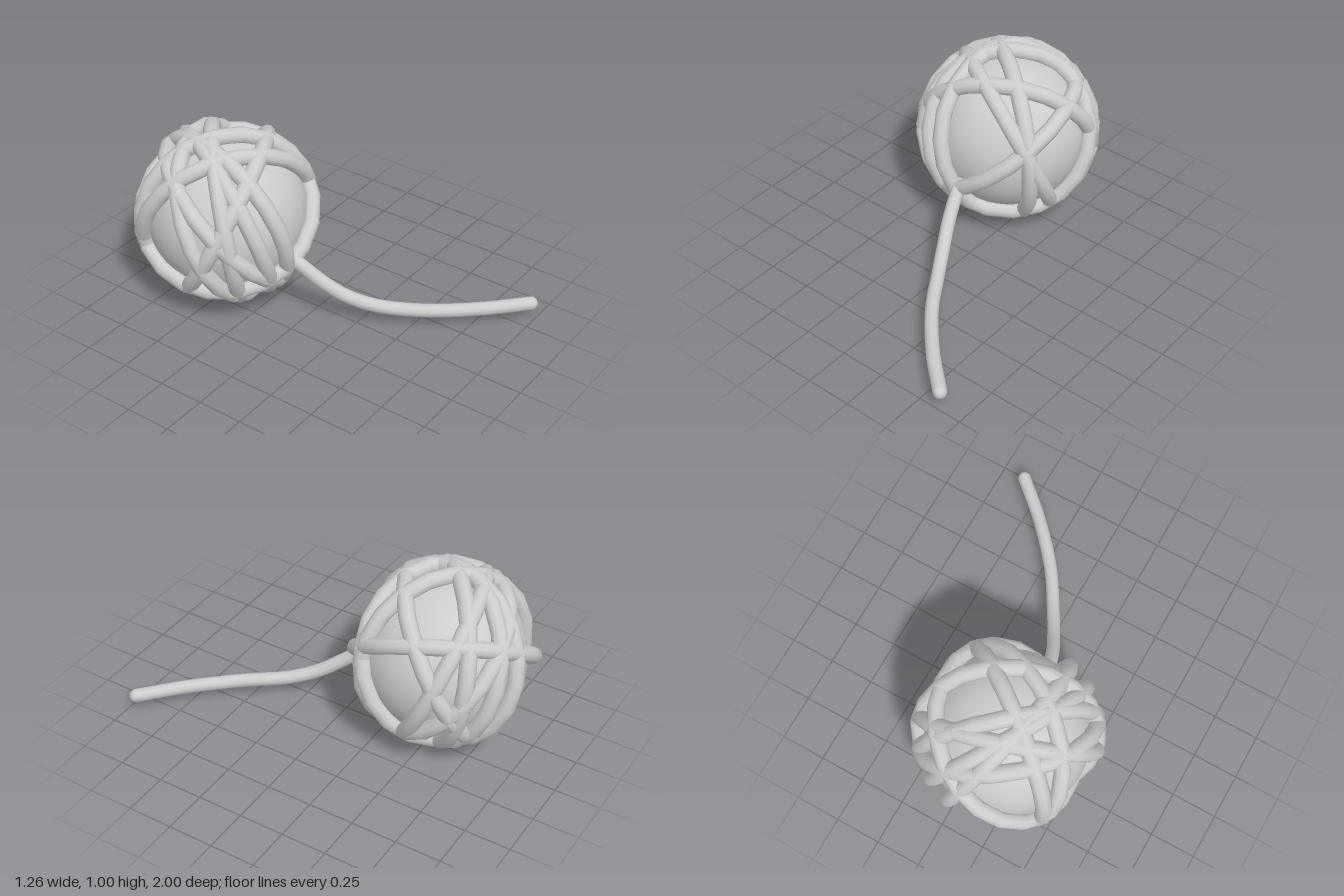
import * as THREE from 'three';

export function createModel() {
  const model = new THREE.Group();
  model.name = 'yarnBall';
  const yarn = new THREE.MeshStandardMaterial({ color: 0xcccccc });
  yarn.name = 'yarn grey';

  const add = (geometry, name, parent = model) => {
    const mesh = new THREE.Mesh(geometry, yarn);
    mesh.name = name;
    parent.add(mesh);
    return mesh;
  };

  // Ball: a smooth core wrapped in strands
  const ball = new THREE.Group();
  ball.name = 'ball';
  ball.position.set(-0.135, 0.508, -0.507);
  model.add(ball);
  add(new THREE.SphereGeometry(0.43, 40, 28), 'core', ball);

  // Each strand is a loop round the core, given by the axis it winds about
  const strandAxes = [
    [0.94, 0.28, 0.19],
    [0.82, 0.31, 0.46],
    [0.49, 0.66, 0.57],
    [0.41, -0.46, 0.79],
    [0.50, 0.41, -0.76],
    [0.61, 0.04, -0.79],
    [0.56, -0.77, -0.29],
    [0.27, 0.40, 0.88],
    [0.64, 0.14, 0.75],
  ];
  const strand = new THREE.TorusGeometry(0.461, 0.044, 10, 20);
  const zAxis = new THREE.Vector3(0, 0, 1);
  strandAxes.forEach((axis, i) => {
    const ring = add(strand, `strand${i + 1}`, ball);
    ring.quaternion.setFromUnitVectors(zAxis, new THREE.Vector3(...axis).normalize());
  });

  // Loose end trailing forward along the ground
  const path = new THREE.CatmullRomCurve3([
    [-0.13, 0.37, -0.09],
    [-0.115, 0.33, -0.03],
    [-0.075, 0.245, 0.08],
    [-0.02, 0.17, 0.19],
    [0.06, 0.118, 0.33],
    [0.20, 0.097, 0.55],
    [0.40, 0.09, 0.78],
    [0.60, 0.087, 0.965],
  ].map((p) => new THREE.Vector3(...p)));
  add(new THREE.TubeGeometry(path, 28, 0.037, 10), 'looseEnd');

  // Blunt tips closing the loose end
  for (const [name, t] of [['innerTip', 0], ['outerTip', 1]]) {
    add(new THREE.SphereGeometry(0.037, 10, 6), name).position.copy(path.getPoint(t));
  }
  return model;
}
